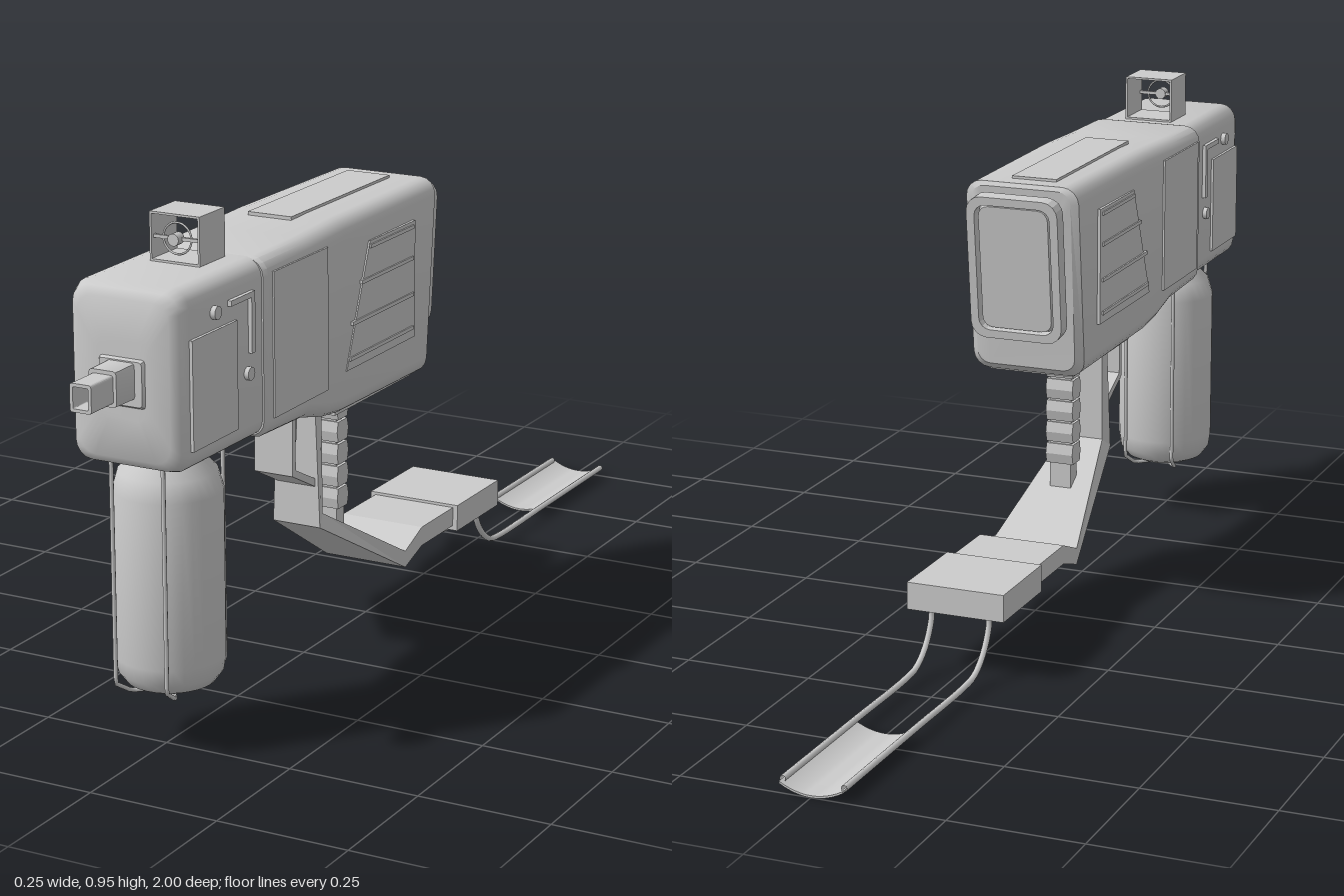
import * as THREE from 'three';
import { toCreasedNormals } from 'three/addons/utils/BufferGeometryUtils.js';

const mat = new THREE.MeshStandardMaterial({ color: 0xcccccc, side: THREE.DoubleSide });

export function createModel() {
  const model = new THREE.Group();
  const add = (name, geo, x = 0, y = 0, z = 0, parent = model) => {
    const m = new THREE.Mesh(geo, mat);
    m.name = name;
    m.position.set(x, y, z);
    parent.add(m);
    return m;
  };
  const box = (name, w, h, d, x, y, z) => add(name, new THREE.BoxGeometry(w, h, d), x, y, z);

  // Outline of a rounded rectangle, counter-clockwise
  const roundRect = (w, y0, y1, r, seg) => {
    const pts = [];
    const corners = [[w - r, y0 + r], [w - r, y1 - r], [r - w, y1 - r], [r - w, y0 + r]];
    corners.forEach(([cx, cy], k) => {
      for (let i = 0; i <= seg; i++) {
        const a = (k - 1 + i / seg) * Math.PI / 2;
        pts.push(new THREE.Vector2(cx + r * Math.cos(a), cy + r * Math.sin(a)));
      }
    });
    return pts;
  };

  // Skin over rounded sections [z, halfWidth, y0, y1, radius, lean], z rising
  const loft = (sections, seg = 4, crease = 0.5) => {
    const pos = [], idx = [], n = 4 * (seg + 1);
    for (const [z, w, y0, y1, r, lean = 0] of sections) {
      for (const p of roundRect(w, y0, y1, r, seg)) pos.push(p.x, p.y, z + lean * (p.y - y0));
    }
    for (let i = 0; i < sections.length - 1; i++) {
      for (let j = 0; j < n; j++) {
        const a = i * n + j, b = i * n + (j + 1) % n;
        idx.push(a, b, b + n, a, b + n, a + n);
      }
    }
    const top = (sections.length - 1) * n;
    for (let j = 1; j < n - 1; j++) idx.push(0, j + 1, j, top, top + j, top + j + 1);
    const g = new THREE.BufferGeometry();
    g.setAttribute('position', new THREE.Float32BufferAttribute(pos, 3));
    g.setIndex(idx);
    return toCreasedNormals(g, crease);
  };

  // Outline in [z, y], extruded across x and centred on x = 0
  const sidePlate = (pts, width) => {
    const shape = new THREE.Shape(pts.map(([z, y]) => new THREE.Vector2(z, y)));
    const g = new THREE.ExtrudeGeometry(shape, { depth: width, bevelEnabled: false });
    return g.rotateY(-Math.PI / 2).translate(width / 2, 0, 0);
  };

  // Rounded frame with a rounded opening, extruded along z
  const frame = (w, y0, y1, r, t, depth) => {
    const shape = new THREE.Shape(roundRect(w, y0, y1, r, 4));
    shape.holes.push(new THREE.Path(roundRect(w - t, y0 + t, y1 - t, Math.max(r - t / 2, 0.001), 4)));
    return new THREE.ExtrudeGeometry(shape, { depth, bevelEnabled: false });
  };
  const tube = (pts, r, seg) => {
    const path = new THREE.CurvePath();
    const v = pts.map(p => new THREE.Vector3(...p));
    for (let i = 1; i < v.length; i++) path.add(new THREE.LineCurve3(v[i - 1], v[i]));
    return new THREE.TubeGeometry(path, seg, r, 8);
  };

  // Housing
  add('rearHousing', loft([
    [-0.045, 0.1, 0.508, 0.862, 0.025, -0.08],
    [-0.03, 0.114, 0.495, 0.87, 0.032, -0.1],
    [0.3, 0.119, 0.502, 0.87, 0.032],
    [0.36, 0.12, 0.51, 0.868, 0.032],
    [0.44, 0.121, 0.53, 0.865, 0.032],
    [0.585, 0.121, 0.535, 0.863, 0.032],
    [0.595, 0.116, 0.54, 0.86, 0.03],
  ]));
  add('frontHousing', loft([
    [0.59, 0.113, 0.54, 0.862, 0.032],
    [0.835, 0.111, 0.54, 0.862, 0.032],
    [0.856, 0.105, 0.546, 0.855, 0.032],
    [0.866, 0.09, 0.56, 0.84, 0.03],
    [0.87, 0.05, 0.63, 0.77, 0.02],
  ], 4, 0.9));

  // Sloped back plate
  const back = new THREE.Group();
  back.name = 'backPlate';
  back.position.set(0, 0.57, -0.066);
  back.rotation.x = -0.1;
  model.add(back);
  add('backFrame', frame(0.092, 0.005, 0.285, 0.03, 0.016, 0.03), 0, 0, -0.027, back);
  add('backPanel', loft([[-0.021, 0.07, 0.025, 0.265, 0.02], [0.01, 0.078, 0.018, 0.272, 0.02]]), 0, 0, 0, back);

  // Raised strip on top and lip below
  box('topStrip', 0.09, 0.008, 0.38, -0.01, 0.871, 0.16);
  box('undersideLip', 0.17, 0.012, 0.3, 0, 0.496, 0.13);

  // Panels, ribs and fasteners on both sides
  add('frontSidePanel', sidePlate([[0.835, 0.58], [0.835, 0.775], [0.685, 0.775], [0.685, 0.58]], 0.234));
  add('middleSidePanel', sidePlate([[0.57, 0.57], [0.57, 0.835], [0.375, 0.835], [0.375, 0.57]], 0.248));
  add('rearSidePanel', sidePlate([[0.3, 0.585], [0.21, 0.81], [0.03, 0.81], [0.03, 0.585]], 0.242));
  for (const s of [-1, 1]) {
    [[0.8, 0.21], [0.74, 0.245], [0.67, 0.28], [0.605, 0.29]].forEach(([y, z]) =>
      box('sideRib', 0.008, 0.007, z - 0.04, s * 0.12, y, (z + 0.04) / 2));
    for (const [y, z] of [[0.805, 0.755], [0.67, 0.645]]) {
      const g = new THREE.CylinderGeometry(0.012, 0.012, 0.012, 16).rotateZ(Math.PI / 2);
      add('fastener', g, s * 0.115, y, z);
    }
    box('sideLatchBar', 0.012, 0.11, 0.012, s * 0.114, 0.76, 0.635);
    box('sideLatchArm', 0.012, 0.01, 0.08, s * 0.114, 0.81, 0.67);
  }

  // Muzzle
  add('muzzleCollar', loft([[0.86, 0.05, 0.648, 0.746, 0.006], [0.876, 0.042, 0.658, 0.737, 0.006]], 2));
  add('muzzleBase', loft([[0.86, 0.028, 0.67, 0.735, 0.006], [0.932, 0.027, 0.671, 0.734, 0.006]], 2));
  add('muzzleTip', frame(0.021, 0.677, 0.727, 0.005, 0.006, 0.08), 0, 0, 0.92);

  // Open box sight with ring and crosswire
  add('sightBox', frame(0.05, 0.862, 0.95, 0.001, 0.004, 0.085), 0, 0, 0.61);
  add('sightRing', new THREE.TorusGeometry(0.028, 0.002, 6, 32), 0, 0.905, 0.685);
  add('sightBead', new THREE.CylinderGeometry(0.011, 0.011, 0.02, 16).rotateX(Math.PI / 2), 0, 0.905, 0.69);
  box('sightCrossbar', 0.098, 0.006, 0.006, 0, 0.905, 0.685);

  // Canister foregrip held by four rods
  const profile = [[0, 0.107], [0.055, 0.107], [0.08, 0.118], [0.094, 0.137], [0.098, 0.165],
    [0.098, 0.47], [0.088, 0.505], [0.06, 0.533], [0.055, 0.545]].map(p => new THREE.Vector2(...p));
  add('canister', toCreasedNormals(new THREE.LatheGeometry(profile, 32), 0.7), 0, 0, 0.73);
  for (const sx of [-1, 1]) for (const sz of [-1, 1]) {
    add('canisterRod', tube([[sx * 0.052, 0.545, sz * 0.1], [sx * 0.052, 0.13, sz * 0.1],
      [sx * 0.045, 0.105, sz * 0.06], [0, 0.1, 0]], 0.004, 40), 0, 0, 0.73);
  }

  // Grip frame, widening toward the stock
  const g = sidePlate([[0.275, 0.51], [0.275, 0.265], [0, 0.107], [-0.07, 0.13], [-0.21, 0.13],
    [-0.21, 0.168], [-0.07, 0.168], [0, 0.14], [0.25, 0.285], [0.25, 0.51]], 2);
  const p = g.attributes.position;
  for (let i = 0; i < p.count; i++) {
    const t = THREE.MathUtils.clamp((0.29 - p.getY(i)) / 0.12, 0, 1);
    p.setX(i, p.getX(i) * (0.04 + 0.047 * t));
  }
  g.computeVertexNormals();
  add('gripFrame', g);
  add('triggerGuard', sidePlate([[0.36, 0.52], [0.36, 0.388], [0.27, 0.342], [0.27, 0.358],
    [0.348, 0.397], [0.348, 0.52]], 0.08));
  add('trigger', sidePlate([[0.31, 0.51], [0.305, 0.45], [0.325, 0.405], [0.318, 0.402],
    [0.295, 0.44], [0.293, 0.51]], 0.025));

  // Ribbed pistol grip
  box('gripCore', 0.044, 0.31, 0.03, 0, 0.355, 0.145);
  for (let i = 0; i < 5; i++) {
    const y = 0.265 + i * 0.044;
    add('gripRib', sidePlate([[0.163, y], [0.167, y + 0.02], [0.163, y + 0.04],
      [0.127, y + 0.04], [0.122, y + 0.02], [0.127, y]], 0.056));
  }

  // Stock block, wires and curved shoulder rest
  box('stockBlock', 0.194, 0.053, 0.185, 0, 0.147, -0.2975);
  for (const s of [-1, 1]) {
    const curve = new THREE.CatmullRomCurve3([[0.13, -0.365], [0.1, -0.367], [0.055, -0.395], [0.028, -0.435],
      [0.022, -0.48], [0.022, -0.7], [0.022, -0.99]].map(([y, z]) => new THREE.Vector3(s * 0.058, y, z)), false, 'centripetal');
    add('stockWire', new THREE.TubeGeometry(curve, 48, 0.006, 8), 0, 0, 0);
  }
  const arc = [];
  for (let i = 0; i <= 12; i++) arc.push([-0.06 + i * 0.01, 0.003 + 0.017 * ((i - 6) / 6) ** 2]);
  const outline = [...arc, ...arc.map(([x, y]) => [x, y + 0.004]).reverse()].map(q => new THREE.Vector2(...q));
  add('shoulderRest', toCreasedNormals(new THREE.ExtrudeGeometry(new THREE.Shape(outline),
    { depth: 0.3, bevelEnabled: false }), 0.6), 0, -0.003, -1);

  return model;
}
